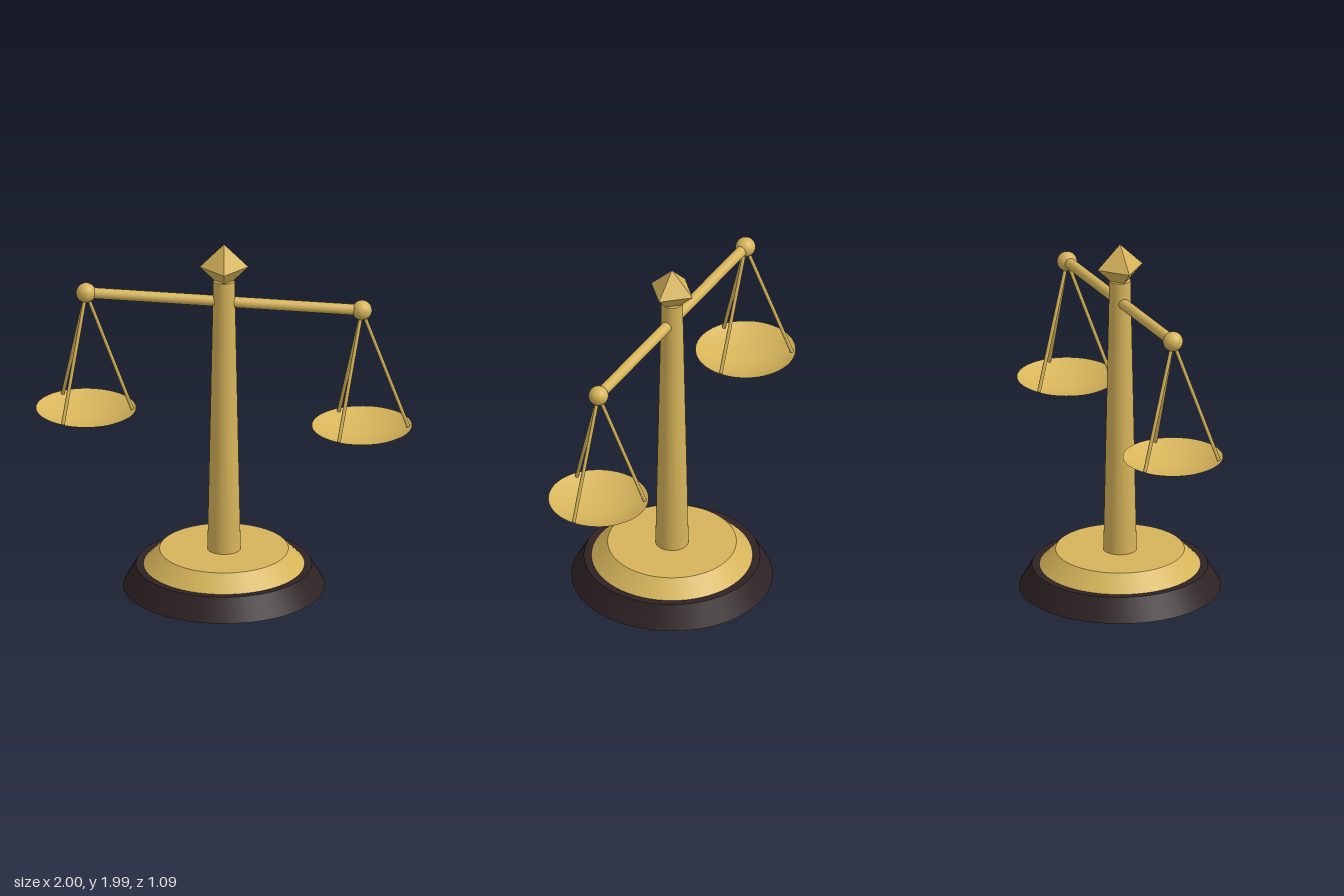
import * as THREE from 'three';

const YAW = 0.223;      // turn of the beam about the column
const ARM = 0.745;      // horizontal reach of each arm
const TILT = 0.052;     // rise of the -x end and drop of the +x end
const BEAM_Y = 1.659;

export function createModel() {
  const gold = new THREE.MeshStandardMaterial({ color: 0xd6b45a });
  gold.name = 'gold';
  gold.side = THREE.DoubleSide;
  const wood = new THREE.MeshStandardMaterial({ color: 0x2e2224 });
  wood.name = 'darkWood';

  const model = new THREE.Group();
  model.name = 'balanceScale';

  const add = (name, geometry, material, parent = model) => {
    const mesh = new THREE.Mesh(geometry, material);
    mesh.name = name;
    parent.add(mesh);
    return mesh;
  };

  // Upright tapered cylinder between two heights
  const frustum = (name, rBottom, rTop, y0, y1, material) => {
    const mesh = add(name, new THREE.CylinderGeometry(rTop, rBottom, y1 - y0, 64), material);
    mesh.position.y = (y0 + y1) / 2;
    return mesh;
  };

  // Round rod between two points
  const rod = (name, a, b, radius, sides, parent = model) => {
    const dir = b.clone().sub(a);
    const mesh = add(name, new THREE.CylinderGeometry(radius, radius, dir.length(), sides), gold, parent);
    mesh.position.copy(a).add(b).multiplyScalar(0.5);
    mesh.quaternion.setFromUnitVectors(new THREE.Vector3(0, 1, 0), dir.normalize());
    return mesh;
  };

  // Stepped base and column
  frustum('basePlinth', 0.545, 0.475, 0, 0.125, wood);
  frustum('baseCollar', 0.44, 0.348, 0.12, 0.214, gold);
  frustum('column', 0.09, 0.058, 0.21, 1.783, gold);

  // Faceted finial
  const finial = add('finial', new THREE.OctahedronGeometry(0.132), gold);
  finial.position.y = 1.861;
  finial.rotation.y = YAW;

  // Tilted beam
  const endPoint = (side) => new THREE.Vector3(
    side * ARM * Math.cos(YAW), BEAM_Y - side * TILT, -side * ARM * Math.sin(YAW));
  rod('beam', endPoint(-1), endPoint(1), 0.03, 24);

  // Shallow spherical dish profile, from the centre to the rim
  const rim = 0.271, depth = 0.075, rimDrop = 0.674;
  const R = (rim * rim + depth * depth) / (2 * depth);
  const maxAngle = Math.asin(rim / R);
  const profile = [];
  for (let i = 0; i <= 10; i++) {
    const a = maxAngle * i / 10;
    profile.push(new THREE.Vector2(R * Math.sin(a), R - depth - R * Math.cos(a)));
  }

  // A ball, three hanger rods and a dish at each end of the beam
  for (const side of [-1, 1]) {
    const hanger = new THREE.Group();
    hanger.name = side > 0 ? 'leftPanAssembly' : 'rightPanAssembly';
    hanger.position.copy(endPoint(side));
    model.add(hanger);

    add('beamBall', new THREE.SphereGeometry(0.054, 32, 20), gold, hanger);

    const pan = add('pan', new THREE.LatheGeometry(profile, 64), gold, hanger);
    pan.position.y = -rimDrop;

    for (let k = 0; k < 3; k++) {
      const a = YAW + k * Math.PI * 2 / 3;
      const foot = new THREE.Vector3(0.25 * Math.cos(a), -rimDrop - 0.008, -0.25 * Math.sin(a));
      rod('hangerRod', new THREE.Vector3(), foot, 0.01, 10, hanger);
    }
  }

  return model;
}
